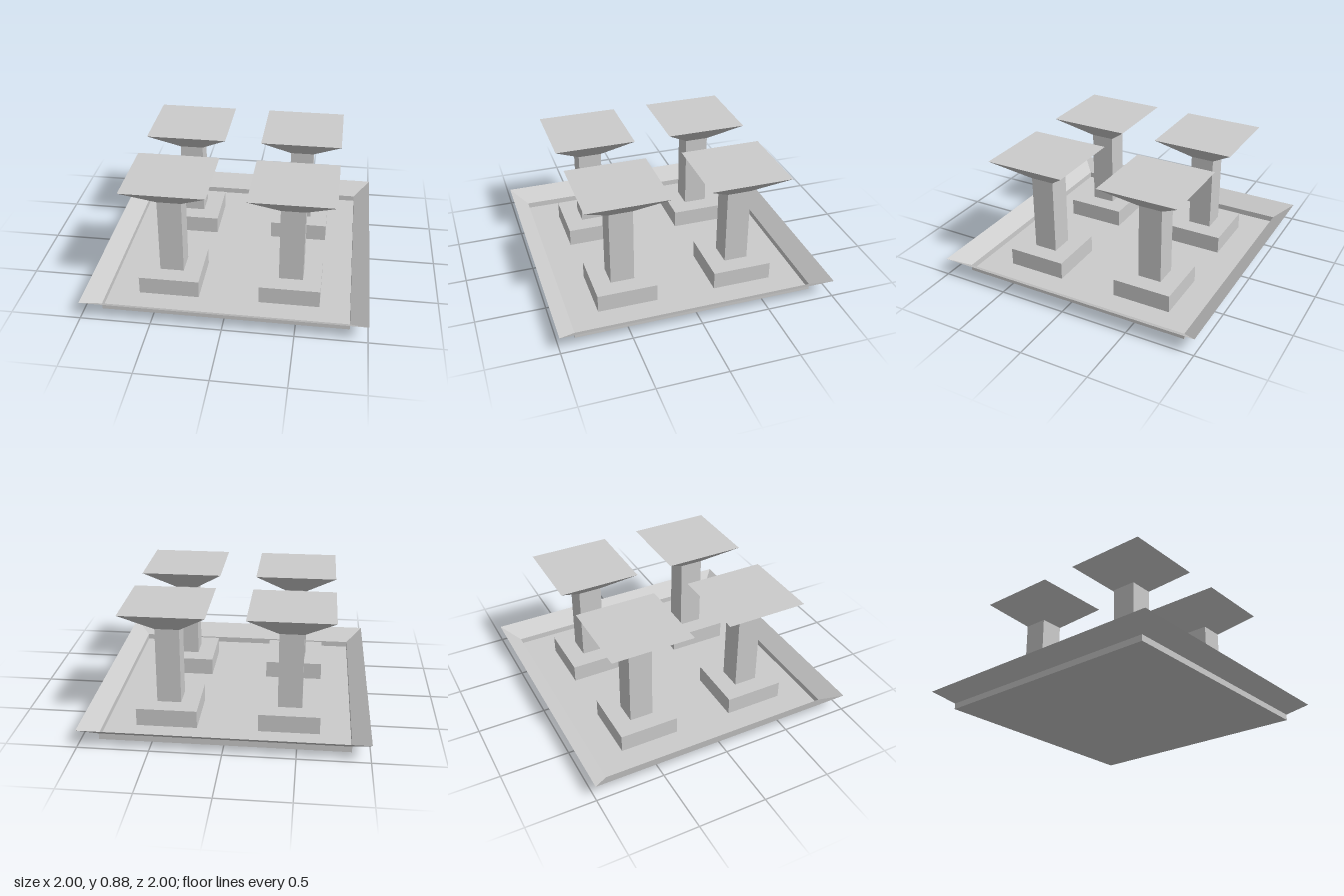
import * as THREE from 'three';

const solid = new THREE.MeshStandardMaterial({ color: 0xcccccc, flatShading: true });
const sheet = new THREE.MeshStandardMaterial({ color: 0xcccccc, flatShading: true, side: THREE.DoubleSide });

// Square frustum between two heights, given its half-widths at bottom and top
function frustum(name, halfBottom, halfTop, y0, y1, open = false) {
  const g = new THREE.CylinderGeometry(halfTop * Math.SQRT2, halfBottom * Math.SQRT2, y1 - y0, 4, 1, open);
  g.rotateY(Math.PI / 4);
  g.translate(0, (y0 + y1) / 2, 0);
  const mesh = new THREE.Mesh(g, open ? sheet : solid);
  mesh.name = name;
  return mesh;
}

export function createModel() {
  const model = new THREE.Group();
  model.name = 'pillarTray';

  // Shallow tray: thin floor, low upright walls and a flared rim
  const tray = new THREE.Group();
  tray.name = 'tray';
  const floor = new THREE.Mesh(new THREE.PlaneGeometry(1.75, 1.75).rotateX(-Math.PI / 2), sheet);
  floor.name = 'trayFloor';
  tray.add(
    floor,
    frustum('trayWalls', 0.875, 0.875, 0, 0.044, true),
    frustum('flaredRim', 0.875, 1, 0.044, 0.131, true)
  );
  model.add(tray);

  // Four identical pillars, each with a plinth, a shaft and a flared cap
  for (const x of [-1, 1]) {
    for (const z of [-1, 1]) {
      const pillar = new THREE.Group();
      pillar.name = `${z > 0 ? 'front' : 'back'}${x > 0 ? 'Left' : 'Right'}Pillar`;
      pillar.add(
        frustum('plinth', 0.219, 0.219, 0, 0.131),
        frustum('shaft', 0.0875, 0.0875, 0.131, 0.7),
        frustum('flaredCap', 0.0875, 0.301, 0.7, 0.876)
      );
      pillar.position.set(x * 0.4375, 0, z * 0.4375);
      model.add(pillar);
    }
  }
  return model;
}
